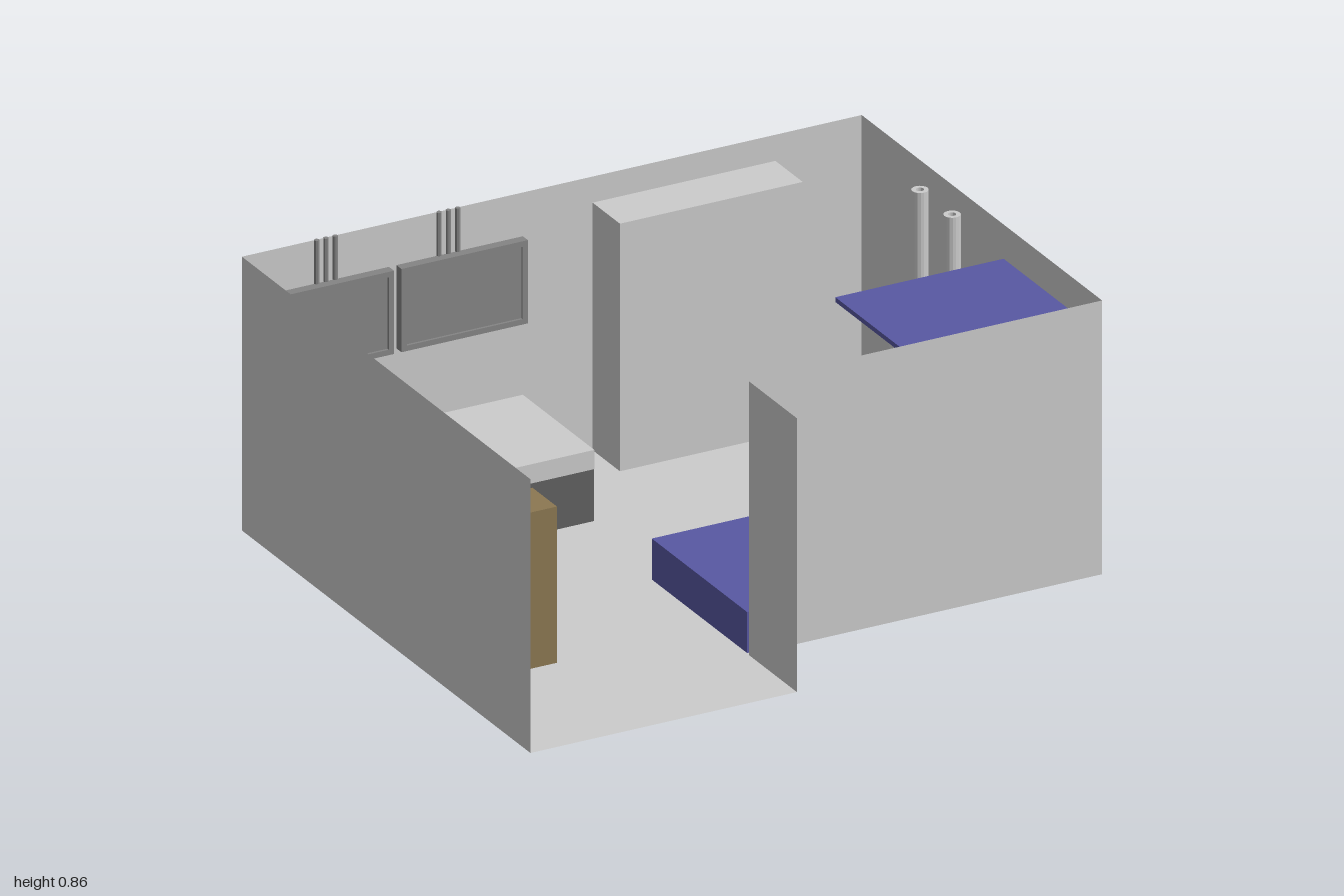
import * as THREE from 'three';

const paint = (color) => new THREE.MeshStandardMaterial({ color, flatShading: true });
const grey = paint(0xcccccc);
const sheet = new THREE.MeshStandardMaterial({ color: 0xcccccc, side: THREE.DoubleSide });
const mid = paint(0x858585);
const dark = paint(0x606060);
const blue = paint(0x5858a3);
const brown = paint(0x8c7852);

export function createModel() {
  const room = new THREE.Group();
  room.name = 'room';

  const add = (name, geometry, material, parent = room) => {
    const mesh = new THREE.Mesh(geometry, material);
    mesh.name = name;
    parent.add(mesh);
    return mesh;
  };
  // Box given by its limits on each axis
  const box = (name, x0, x1, y0, y1, z0, z1, material, parent) => {
    const mesh = add(name, new THREE.BoxGeometry(x1 - x0, y1 - y0, z1 - z0), material, parent);
    mesh.position.set((x0 + x1) / 2, (y0 + y1) / 2, (z0 + z1) / 2);
    return mesh;
  };

  // L-shaped floor and the thin walls that follow its outline, open at the entrance
  const H = 0.855;
  const outline = [[-1, 0.855], [-1, -0.855], [1, -0.855], [1, 0.57], [-0.14, 0.57], [-0.14, 0.855]];
  const floorShape = new THREE.Shape(outline.map(([x, z]) => new THREE.Vector2(x, -z)));
  add('floor', new THREE.ShapeGeometry(floorShape).rotateX(-Math.PI / 2), sheet);
  for (let i = 0; i < outline.length - 1; i++) {
    const [x0, z0] = outline[i], [x1, z1] = outline[i + 1];
    const wall = add('wall', new THREE.PlaneGeometry(Math.hypot(x1 - x0, z1 - z0), H), sheet);
    wall.position.set((x0 + x1) / 2, H / 2, (z0 + z1) / 2);
    wall.rotation.y = -Math.atan2(z1 - z0, x1 - x0);
  }

  // Bunk: low bed, tall headboard cabinet and flared overhang, as one side profile
  const profile = [[-0.14, 0.002], [0.998, 0.002], [0.998, 0.735], [0.465, 0.735],
    [0.713, 0.583], [0.713, 0.13], [-0.14, 0.13]];
  const bunkShape = new THREE.Shape(profile.map(([x, y]) => new THREE.Vector2(x, y)));
  const bunk = new THREE.Group();
  bunk.name = 'bunk';
  room.add(bunk);
  add('bunkBody', new THREE.ExtrudeGeometry(bunkShape, { depth: 0.565, bevelEnabled: false }), blue, bunk)
    .position.z = -0.005;
  box('bunkTop', 0.455, 0.998, 0.735, 0.75, -0.01, 0.563, blue, bunk);
  box('pillow', 0.6, 0.712, 0.13, 0.165, 0.04, 0.53, grey, bunk);

  // Desk against the back wall with a keyboard lying askew
  box('deskBase', -0.95, -0.095, 0.002, 0.165, -0.852, -0.43, dark);
  box('deskTop', -0.95, -0.095, 0.165, 0.225, -0.852, -0.428, grey);
  box('keyboard', -0.805, -0.525, 0.228, 0.25, -0.697, -0.578, mid).rotation.y = 0.215;

  // Two framed screens hung on three rods each
  for (const [x0, x1, rodX] of [[-0.935, -0.527, -0.73], [-0.503, -0.095, -0.335]]) {
    const screen = new THREE.Group();
    screen.name = 'screen';
    room.add(screen);
    const [y0, y1, f] = [0.46, 0.72, 0.017];
    box('screenPanel', x0 + f, x1 - f, y0 + f, y1 - f, -0.852, -0.83, mid, screen);
    for (const [a, b] of [[x0, x0 + f], [x1 - f, x1]]) {
      box('frameSide', a, b, y0, y1, -0.852, -0.822, mid, screen);
    }
    for (const [a, b] of [[y0, y0 + f], [y1 - f, y1]]) {
      box('frameRail', x0 + f, x1 - f, a, b, -0.852, -0.822, mid, screen);
    }
    for (const d of [-0.03, 0, 0.03]) {
      add('rod', new THREE.CylinderGeometry(0.008, 0.008, 0.207, 8), mid, screen)
        .position.set(rodX + d, 0.752, -0.853);
    }
  }

  // Storage cabinet, pillar
  box('cabinet', 0.13, 0.72, 0.002, 0.775, -0.852, -0.69, grey);
  box('pillar', -0.785, -0.645, 0.002, 0.49, 0.215, 0.36, brown);

  // Tanks with domed shoulders and tall hollow pipes
  const tankProfile = [[0, 0.002], [0.09, 0.002], [0.09, 0.37], [0.082, 0.41], [0.062, 0.44],
    [0.04, 0.458], [0.025, 0.465], [0.025, 0.855], [0.012, 0.855], [0.012, 0.8], [0, 0.8]];
  const tankGeometry = new THREE.LatheGeometry(tankProfile.map(([r, y]) => new THREE.Vector2(r, y)), 16);
  for (const z of [-0.335, -0.145]) add('tank', tankGeometry, grey).position.set(0.905, 0, z);

  return room;
}
